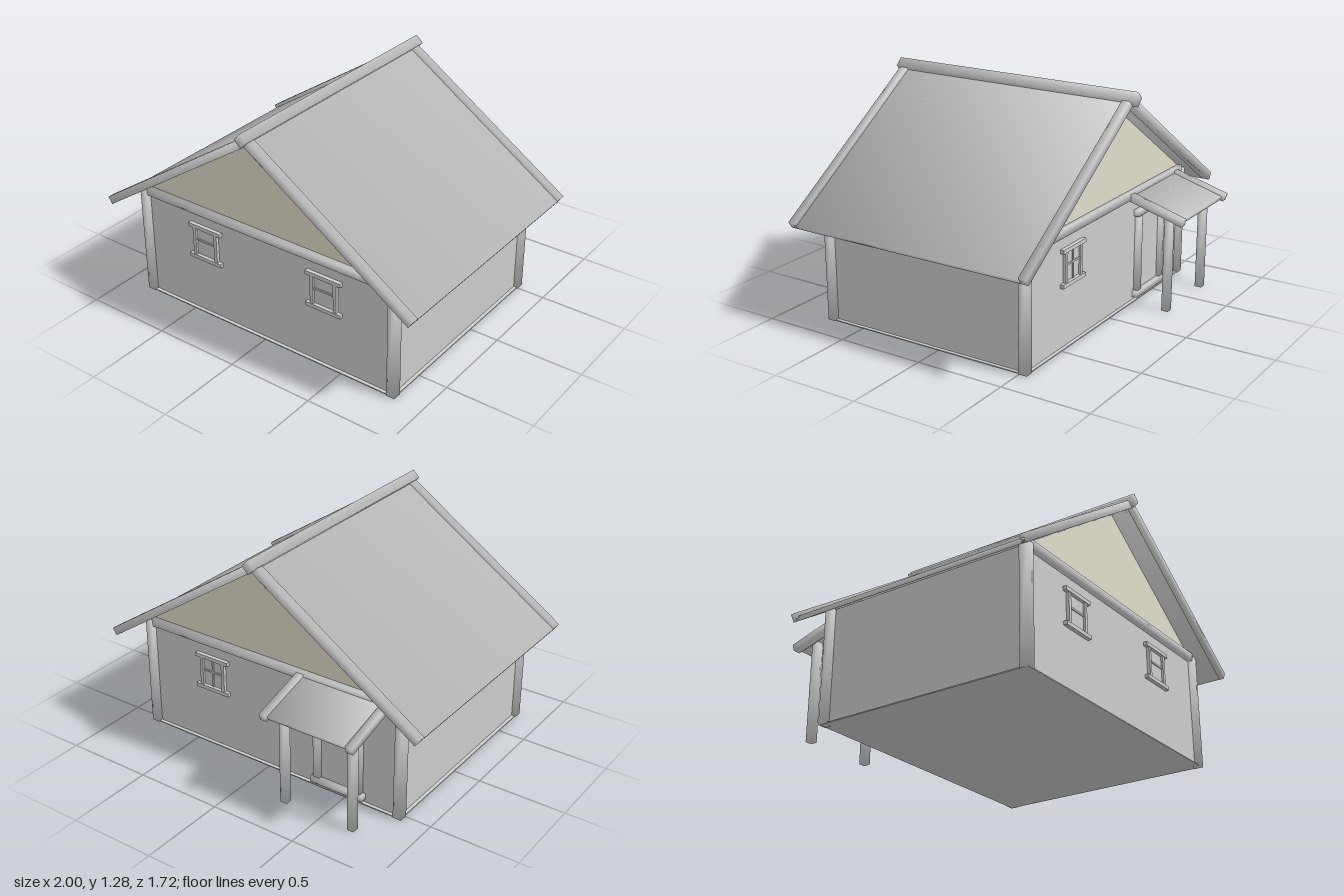
import * as THREE from 'three';

const grey = new THREE.MeshStandardMaterial({ color: 0xcccccc });
const cream = new THREE.MeshStandardMaterial({ color: 0xdfdcc8 });

function box(parent, name, size, pos) {
  const mesh = new THREE.Mesh(new THREE.BoxGeometry(...size), grey);
  mesh.name = name;
  mesh.position.set(...pos);
  parent.add(mesh);
  return mesh;
}

// Square timber whose corner normals are shared, so it shades softly like a rounded log
function log(parent, name, size, pos) {
  const mesh = box(parent, name, size, pos);
  const p = mesh.geometry.attributes.position, n = mesh.geometry.attributes.normal;
  const k = 1 / Math.sqrt(3);
  for (let i = 0; i < p.count; i++) {
    n.setXYZ(i, Math.sign(p.getX(i)) * k, Math.sign(p.getY(i)) * k, Math.sign(p.getZ(i)) * k);
  }
  return mesh;
}

function group(parent, name, x = 0, y = 0, z = 0) {
  const g = new THREE.Group();
  g.name = name;
  g.position.set(x, y, z);
  parent.add(g);
  return g;
}

// Window facing +z with its back on the wall plane
function addWindow(parent, x, z, cross) {
  const g = group(parent, 'window', x, 0.445, z);
  box(g, 'windowPane', [0.15, 0.16, 0.008], [0, 0, 0.002]);
  for (const s of [-1, 1]) {
    box(g, 'windowJamb', [0.02, 0.166, 0.02], [s * 0.073, 0, 0.008]);
    box(g, s > 0 ? 'windowLintel' : 'windowSill', [0.22, 0.022, 0.024], [0, s * 0.094, 0.01]);
  }
  box(g, 'windowBar', [0.13, 0.01, 0.012], [0, 0.01, 0.006]);
  if (cross) box(g, 'windowBar', [0.01, 0.16, 0.012], [0, 0, 0.006]);
  return g;
}

export function createModel() {
  const model = new THREE.Group();
  model.name = 'house';

  // Walls, floor and corner posts
  const body = group(model, 'body', -0.005, 0, 0.095);
  box(body, 'walls', [1.64, 0.642, 1.23], [0, 0.323, 0]);
  box(body, 'floor', [1.68, 0.006, 1.27], [0, 0.003, 0]);
  for (const sx of [-1, 1]) {
    for (const sz of [-1, 1]) log(body, 'cornerPost', [0.05, 0.65, 0.05], [sx * 0.82, 0.325, sz * 0.615]);
  }

  // Gables with the log beams under them
  const tri = new THREE.Shape();
  tri.moveTo(-0.83, 0.642);
  tri.lineTo(0.83, 0.642);
  tri.lineTo(0, 1.198);
  tri.closePath();
  for (const s of [-1, 1]) {
    const geo = new THREE.ExtrudeGeometry(tri, { depth: 0.03, bevelEnabled: false });
    const gable = new THREE.Mesh(geo, cream);
    gable.name = 'gable';
    gable.position.z = s > 0 ? 0.585 : -0.615;
    body.add(gable);
    log(body, 'gableBeam', [1.6, 0.047, 0.05], [0, 0.643, s * 0.615]);
  }

  // Windows: two in front, one at the back
  addWindow(body, -0.395, 0.615, false);
  addWindow(body, 0.395, 0.615, false);
  addWindow(body, 0.385, -0.615, true).rotation.y = Math.PI;

  // Roof: a panel and two rafters on each slope, and the ridge pole
  const roof = group(model, 'roof', 0, 0, 0.095);
  const pitch = Math.atan(0.667), len = 0.975 / Math.cos(pitch);
  for (const turn of [0, Math.PI]) {
    const slope = group(roof, 'roofSlope', 0, 1.2, 0);
    slope.rotation.set(0, turn, -pitch);
    log(slope, 'roofPanel', [len, 0.025, 1.43], [len / 2, 0.0125, 0]);
    for (const s of [-1, 1]) log(slope, 'rafter', [len, 0.045, 0.045], [len / 2, 0.0225, s * 0.7175]);
  }
  log(roof, 'ridgePole', [0.057, 0.057, 1.53], [-0.005, 1.24, -0.005]).rotation.z = Math.PI / 4;

  // Back door and its frame
  const door = group(model, 'door', -0.45, 0, -0.52);
  box(door, 'doorPanel', [0.25, 0.46, 0.01], [0, 0.28, -0.002]);
  for (const s of [-1, 1]) {
    log(door, 'doorJamb', [0.04, 0.46, 0.045], [s * 0.13, 0.28, -0.005]);
    log(door, s > 0 ? 'doorLintel' : 'doorSill', [0.33, 0.036, 0.055], [0, 0.28 + s * 0.24, -0.005]);
  }

  // Porch over the door
  const porch = group(model, 'porch', -0.478, 0, 0);
  for (const s of [-1, 1]) log(porch, 'porchPost', [0.04, 0.572, 0.04], [s * 0.21, 0.286, -0.745]);
  const canopy = group(porch, 'canopy', 0, 0.594, -0.68);
  canopy.rotation.x = -0.278;
  log(canopy, 'canopyPanel', [0.5, 0.02, 0.355], [0, -0.004, 0.008]);
  for (const s of [-1, 1]) log(canopy, 'canopyRail', [0.042, 0.04, 0.365], [s * 0.26, 0, 0]);

  return model;
}
